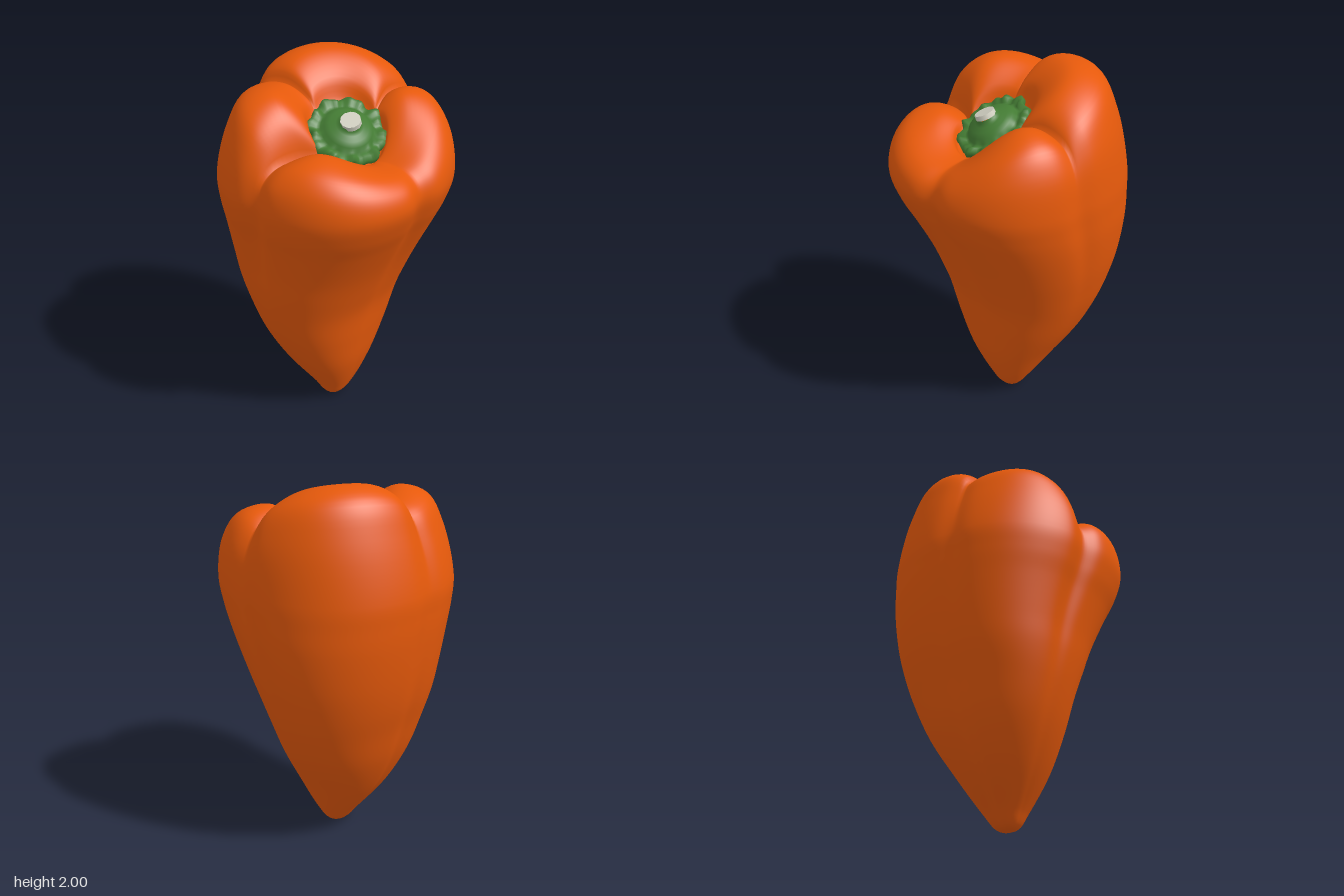
import * as THREE from 'three';

const V = (x, y, z) => new THREE.Vector3(x, y, z);
const lerp = THREE.MathUtils.lerp;

const orange = new THREE.MeshStandardMaterial({ name: 'orange skin', color: 0xe6590b });
const green = new THREE.MeshStandardMaterial({ name: 'green calyx', color: 0x447c34 });
const pale = new THREE.MeshStandardMaterial({ name: 'pale cut stem', color: 0xd2d0c2 });

// Closed skin around the y axis: profile(angle) lists points from bottom to top
function loft(profile, segments) {
  const pos = [], index = [];
  let rows = 0;
  for (let j = 0; j < segments; j++) {
    const points = profile((j / segments) * Math.PI * 2);
    rows = points.length;
    for (const p of points) pos.push(p.x, p.y, p.z);
  }
  for (let j = 0; j < segments; j++) {
    const k = (j + 1) % segments;
    for (let i = 0; i < rows - 1; i++) {
      const a = j * rows + i, b = k * rows + i;
      index.push(a, a + 1, b, b, a + 1, b + 1);
    }
  }
  const g = new THREE.BufferGeometry();
  g.setAttribute('position', new THREE.Float32BufferAttribute(pos, 3));
  g.setIndex(index);
  g.computeVertexNormals();
  return g;
}

// Body extents by height: y, x min, x max, z min, z max
const ROWS = [
  [0.02, -0.06, 0.06, -0.05, 0.05],
  [0.10, -0.11, 0.12, -0.12, 0.10],
  [0.30, -0.24, 0.24, -0.28, 0.18],
  [0.50, -0.34, 0.36, -0.39, 0.225],
  [0.70, -0.41, 0.45, -0.46, 0.265],
  [0.85, -0.45, 0.50, -0.51, 0.32],
  [1.00, -0.48, 0.54, -0.545, 0.385],
  [1.20, -0.53, 0.575, -0.575, 0.485],
  [1.33, -0.57, 0.585, -0.585, 0.55],
  [1.46, -0.59, 0.587, -0.585, 0.59],
];

// Furrows by angle from +x towards +z, each with the lobe that follows it:
// crest height, skew of its peak and sharpness of its rise
const rad = THREE.MathUtils.degToRad;
const FURROWS = [
  { a: rad(10), y: 1.79, top: 0.03, low: 0, lobe: 1.84, skew: 0.45, rise: 1.8 },
  { a: rad(90), y: 1.60, top: 0.06, low: 0.01, lobe: 1.71, skew: 1.9, rise: 0.95 },
  { a: rad(185), y: 1.63, top: 0.075, low: 0.01, lobe: 1.91, skew: 1.1, rise: 0.48 },
  { a: rad(262), y: 1.86, top: 0.035, low: 0.045, lobe: 2.0, skew: 0.75, rise: 0.45 },
];

// Calyx seat: a plane leaning to the front
const SEAT = V(-0.02, 1.70, 0.1);
const seatY = (x, z) => SEAT.y - 0.5 * (z - SEAT.z) + 0.25 * (x - SEAT.x);

function crestHeight(angle) {
  for (let i = 0; i < 4; i++) {
    const f = FURROWS[i], n = FURROWS[(i + 1) % 4];
    const span = (n.a - f.a + Math.PI * 2) % (Math.PI * 2);
    const u = ((angle - f.a + Math.PI * 2) % (Math.PI * 2)) / span;
    if (u < 1) {
      const base = lerp(f.y, n.y, u);
      return base + (f.lobe - base) * Math.pow(Math.sin(Math.PI * u ** f.skew), f.rise);
    }
  }
  return FURROWS[0].y;
}

function groove(angle, y) {
  let cut = 0;
  for (const f of FURROWS) {
    const d = Math.atan2(Math.sin(angle - f.a), Math.cos(angle - f.a));
    const depth = lerp(f.low, f.top, THREE.MathUtils.smoothstep(y, 0.5, 1.5));
    cut += depth * Math.exp(-((d / 0.13) ** 2));
  }
  return cut;
}

function bodyProfile(angle) {
  const c = Math.cos(angle), s = Math.sin(angle), p = s < 0 ? 2.2 : 2.4;
  const square = (Math.abs(c) ** p + Math.abs(s) ** p) ** (-1 / p);
  const pts = [V(0, 0, 0)];
  for (const [y, x0, x1, z0, z1] of ROWS) {
    const g = square * (1 - groove(angle, y));
    pts.push(V((x0 + x1) / 2 + (x1 - x0) / 2 * c * g, y, (z0 + z1) / 2 + (z1 - z0) / 2 * s * g));
  }
  // Shoulder rolls over the crest, then dips to the calyx
  const rim = pts[pts.length - 1], H = crestHeight(angle);
  const at = (q, y) => V(lerp(SEAT.x, rim.x, q), y, lerp(SEAT.z, rim.z, q));
  const rise = H - rim.y, back = Math.max(0, -s);
  pts.push(
    at(0.95 - 0.055 * back, rim.y + rise * 0.57),
    at(0.81 - 0.035 * back, rim.y + rise * 0.91),
    at(0.55, H),
  );
  const x = SEAT.x + 0.17 * c, z = SEAT.z + 0.17 * s;
  const inner = V(x, seatY(x, z) - 0.03, z);
  const mid = at(0.55, H).lerp(inner, 0.7);
  mid.y = lerp(H, inner.y, 0.42);
  pts.push(mid, inner, V(SEAT.x, SEAT.y - 0.05, SEAT.z));
  const curve = new THREE.CatmullRomCurve3(pts).getPoints((pts.length - 1) * 6);
  for (const v of curve) v.y = Math.max(v.y, 0);
  return curve;
}

// Calyx cross-section: radius, height, waviness
const CALYX = [
  [0.10, -0.05, 0], [0.185, -0.035, 0.8], [0.203, -0.012, 1], [0.20, 0.012, 1],
  [0.178, 0.022, 0.8], [0.155, 0.008, 0.4], [0.138, 0.012, 0.1], [0.125, 0.034, 0],
  [0.10, 0.05, 0], [0.072, 0.06, 0], [0.056, 0.07, 0], [0.05, 0.085, 0],
];

function calyxProfile(angle) {
  const wave = 0.045 * Math.sin(8 * angle + 0.6) + 0.03 * Math.sin(13 * angle);
  const lift = 0.011 * Math.sin(9 * angle) + 0.007 * Math.sin(17 * angle + 1);
  return CALYX.map(([r, h, w]) => {
    const R = r * (1 + wave * w);
    return V(R * Math.cos(angle), h + lift * w, R * Math.sin(angle));
  });
}

export function createModel() {
  const model = new THREE.Group();
  model.name = 'bellPepper';

  const body = new THREE.Mesh(loft(bodyProfile, 240), orange);
  body.name = 'body';
  model.add(body);

  // Leaning calyx with its wavy collar and domed middle
  const up = V(0, 1, 0), lean = V(-0.25, 1, 0.5).normalize();
  const calyx = new THREE.Mesh(loft(calyxProfile, 120), green);
  calyx.name = 'calyx';
  calyx.position.copy(SEAT);
  calyx.quaternion.setFromUnitVectors(up, lean);

  // Cut end, sliced at a slant to the left
  const cut = new THREE.Mesh(new THREE.CylinderGeometry(0.053, 0.055, 0.026, 11), pale);
  cut.name = 'cutStemEnd';
  cut.position.copy(SEAT).addScaledVector(lean, 0.087);
  cut.quaternion.setFromUnitVectors(up, V(-0.4, 1, 0.2).normalize());

  model.add(calyx, cut);
  return model;
}
